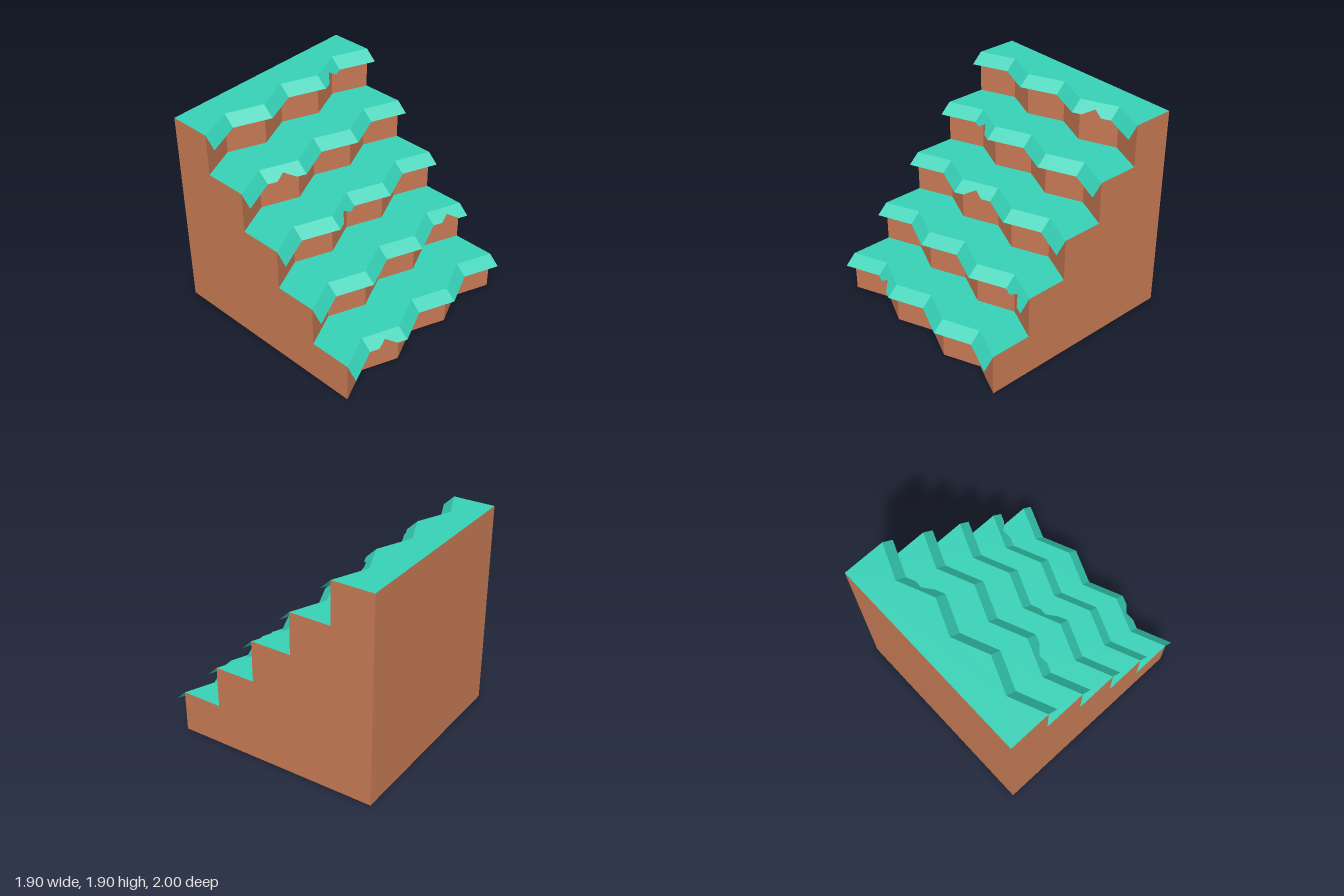
import * as THREE from 'three';
import { mergeGeometries } from 'three/addons/utils/BufferGeometryUtils.js';

const STEPS = 5, RISE = 2 / 5.25;            // tread depth equals the rise
const HALF = RISE * 2.5, SEG = HALF / 3;     // half width, width of one zigzag face
const FRONT = 0.905, BACK = -1, DIP = 0.133;
const LIP = 0.0952;                          // overhang drop and reach
const NOTCHES = [1, 5, 2, 1, 4];             // zigzag face holding the notch, per step

const xs = Array.from({ length: 7 }, (_, i) => -HALF + i * SEG);
const frontZ = k => FRONT - k * RISE;
// Zigzag depth at x for step k
const zigzag = (x, k) => {
  const t = Math.abs((((x + HALF) / SEG) % 2) - 1);
  return frontZ(k) - DIP * (1 - t);
};
const flat = pts => new THREE.ShapeGeometry(new THREE.Shape(pts.map(p => new THREE.Vector2(p[0], p[1]))));

// Bends a flat upright panel onto the zigzag; slope pushes it forward as it drops
function bend(geo, k, topY, slope) {
  const p = geo.attributes.position;
  for (let i = 0; i < p.count; i++) {
    const x = p.getX(i), y = p.getY(i);
    p.setXYZ(i, x, topY + y, zigzag(x, k) - y * slope);
  }
  geo.computeVertexNormals();
  return geo;
}

// One panel per zigzag face, optionally notched in its lower edge
function panels(k, topY, height, slope, notch = -1) {
  return mergeGeometries(xs.slice(0, 6).map((x, i) => {
    const pts = [[x, 0], [x, -height]];
    if (i === notch) {
      const c = x + SEG / 2;
      pts.push([c - SEG / 4, -height], [c, -height / 2], [c + SEG / 4, -height]);
    }
    pts.push([x + SEG, -height], [x + SEG, 0]);
    return bend(flat(pts), k, topY, slope);
  }));
}

export function createModel() {
  const group = new THREE.Group();
  const clay = new THREE.MeshStandardMaterial({ color: 0xc67a54, flatShading: true });
  const grass = new THREE.MeshStandardMaterial({ color: 0x36d1b7, flatShading: true, side: THREE.DoubleSide });
  const add = (name, geo, mat) => {
    const mesh = new THREE.Mesh(geo, mat);
    mesh.name = name;
    group.add(mesh);
    return mesh;
  };

  // Steps: riser, top surface and overhanging lip
  for (let k = 0; k < STEPS; k++) {
    const top = (k + 1) * RISE;
    add('riser' + (k + 1), panels(k, top, RISE, 0), clay);
    add('lip' + (k + 1), panels(k, top, LIP, 1, NOTCHES[k]), grass);

    const near = xs.map(x => [x, -zigzag(x, k)]);
    const far = k < STEPS - 1
      ? xs.map(x => [x, -zigzag(x, k + 1)]).reverse()
      : [[HALF, -BACK], [-HALF, -BACK]];
    add('tread' + (k + 1), flat([...near, ...far]).rotateX(-Math.PI / 2).translate(0, top, 0), grass);
  }

  // Stepped side walls
  const profile = [[BACK, 0], [FRONT, 0]];
  for (let k = 0; k < STEPS; k++) {
    profile.push([frontZ(k), (k + 1) * RISE]);
    profile.push([k < STEPS - 1 ? frontZ(k + 1) : BACK, (k + 1) * RISE]);
  }
  add('rightSide', flat(profile).rotateY(-Math.PI / 2).translate(-HALF, 0, 0), clay);
  add('leftSide', flat(profile.map(([z, y]) => [-z, y])).rotateY(Math.PI / 2).translate(HALF, 0, 0), clay);

  // Back wall and underside
  const H = STEPS * RISE;
  add('back', new THREE.PlaneGeometry(2 * HALF, H).rotateY(Math.PI).translate(0, H / 2, BACK), clay);
  const base = [...xs.map(x => [x, zigzag(x, 0)]), [HALF, BACK], [-HALF, BACK]];
  add('underside', flat(base).rotateX(Math.PI / 2), clay);

  return group;
}
